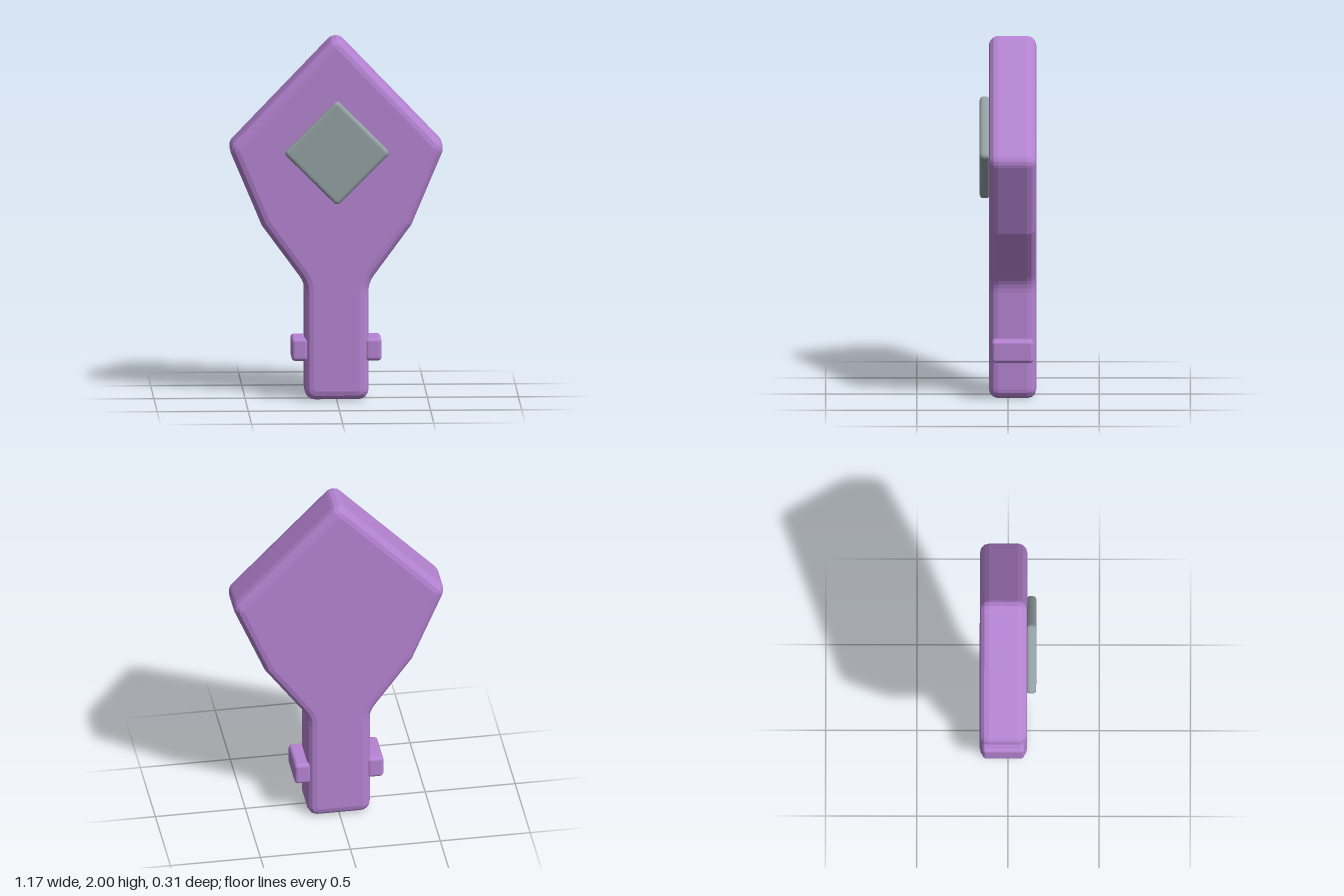
import * as THREE from 'three';
import { RoundedBoxGeometry } from 'three/addons/geometries/RoundedBoxGeometry.js';

// Moves each edge of a counter-clockwise polygon inwards by d
function inset(points, d) {
  const n = points.length;
  return points.map((p, i) => {
    const a = p.clone().sub(points[(i + n - 1) % n]).normalize();
    const b = points[(i + 1) % n].clone().sub(p).normalize();
    const na = new THREE.Vector2(-a.y, a.x);
    const nb = new THREE.Vector2(-b.y, b.x);
    const k = d / (1 + na.dot(nb));
    return p.clone().add(na.add(nb).multiplyScalar(k));
  });
}

// Polygon whose corners are cut back and curved; a cut of 0 stays sharp
function roundedShape(points, cuts) {
  const n = points.length;
  const shape = new THREE.Shape();
  points.forEach((p, i) => {
    const toward = (q) => q.clone().sub(p).setLength(cuts[i]).add(p);
    const start = cuts[i] ? toward(points[(i + n - 1) % n]) : p;
    if (i === 0) shape.moveTo(start.x, start.y);
    else shape.lineTo(start.x, start.y);
    if (cuts[i]) {
      const end = toward(points[(i + 1) % n]);
      shape.quadraticCurveTo(p.x, p.y, end.x, end.y);
    }
  });
  shape.closePath();
  return shape;
}

// Slab with softened edges between zBack and zFront
function slab(outline, cuts, bevel, zBack, zFront) {
  const points = inset(outline.map(([x, y]) => new THREE.Vector2(x, y)), bevel);
  const geometry = new THREE.ExtrudeGeometry(roundedShape(points, cuts), {
    depth: zFront - zBack - 2 * bevel,
    bevelSize: bevel,
    bevelThickness: bevel,
    bevelSegments: 3,
    curveSegments: 4,
  });
  return geometry.translate(0, 0, zBack + bevel);
}

export function createModel() {
  const group = new THREE.Group();
  const purple = new THREE.MeshStandardMaterial({ name: 'purple', color: 0xb583d2 });
  const grey = new THREE.MeshStandardMaterial({ name: 'grey', color: 0x94a1a4 });

  const add = (name, geometry, material) => {
    const mesh = new THREE.Mesh(geometry, material);
    mesh.name = name;
    group.add(mesh);
    return mesh;
  };

  // Paddle body: handle flaring into a pointed head
  const body = [
    [-0.175, 0.005], [0.175, 0.005], [0.175, 0.65], [0.41, 0.97], [0.594, 1.405],
    [0, 2.025],
    [-0.594, 1.405], [-0.41, 0.97], [-0.175, 0.65],
  ];
  const bodyCuts = [0.01, 0.01, 0.065, 0, 0.01, 0.01, 0.01, 0, 0.065];
  add('body', slab(body, bodyCuts, 0.05, -0.155, 0.105), purple);

  // Diamond plate on the front of the head
  const r = 0.293;
  const diamond = [[0, 1.38 - r], [r, 1.38], [0, 1.38 + r], [-r, 1.38]];
  add('frontPlate', slab(diamond, [0.005, 0.005, 0.005, 0.005], 0.02, 0.1, 0.155), grey);

  // Pegs on both sides of the handle
  for (const side of [-1, 1]) {
    const peg = add(side > 0 ? 'leftPeg' : 'rightPeg',
      new RoundedBoxGeometry(0.09, 0.125, 0.23, 3, 0.02), purple);
    peg.position.set(side * 0.202, 0.283, -0.025);
  }
  return group;
}
